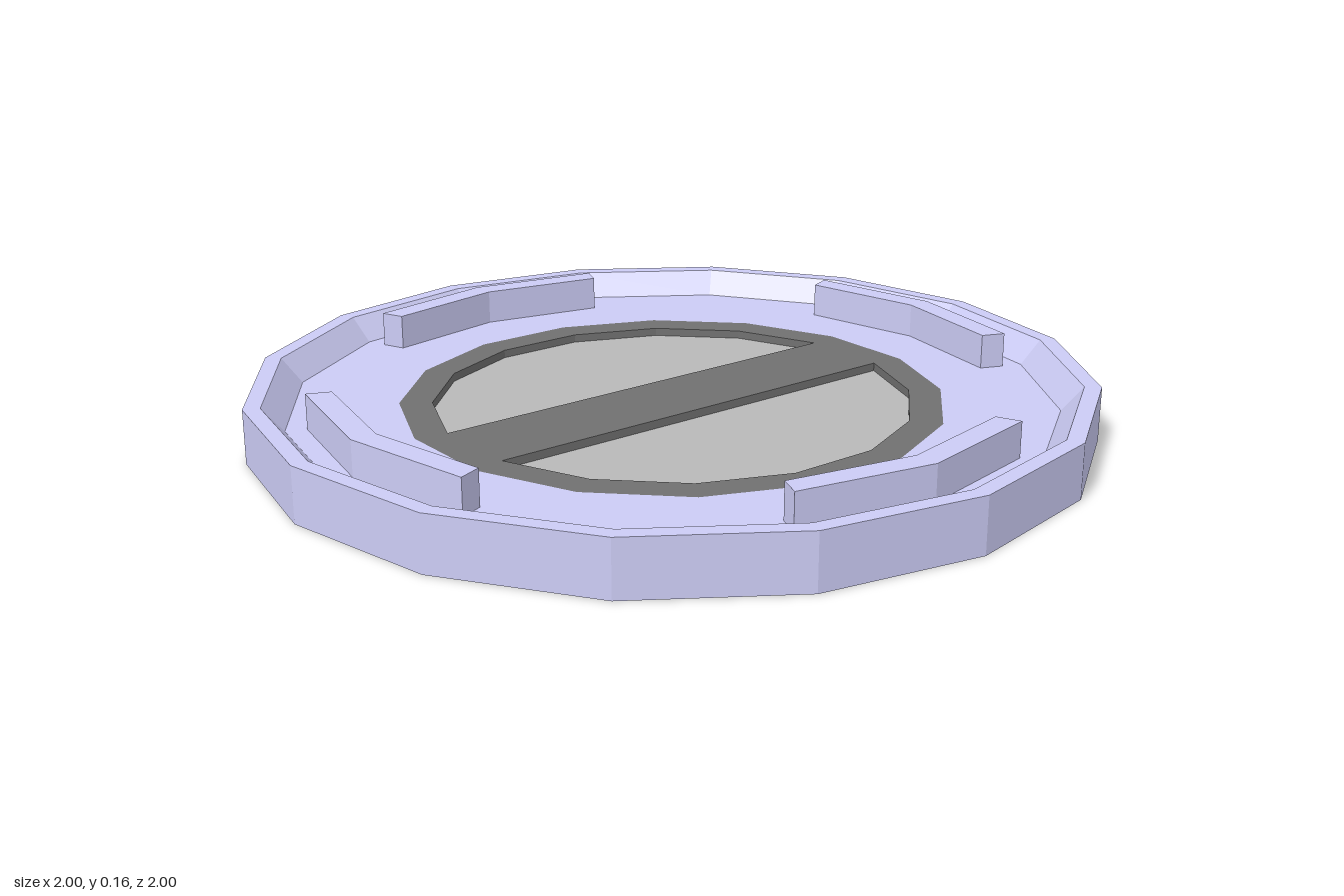
import * as THREE from 'three';

const SIDES = 16, STEP = (Math.PI * 2) / SIDES;
const FLOOR = 0.07, PANEL = 0.05, RIM = 0.13, RIDGE_TOP = 0.155;

const makeMaterial = (color) => new THREE.MeshStandardMaterial({ color, flatShading: true });

// Points on a sixteen-sided ring, from corner a to corner b
function corners(radius, a, b) {
  const points = [];
  for (let i = a; i <= b; i++) {
    points.push(new THREE.Vector2(radius * Math.cos(i * STEP), radius * Math.sin(i * STEP)));
  }
  return points;
}

// Upright slab of a flat outline between two heights
function slab(name, shape, y0, y1, material) {
  const geometry = new THREE.ExtrudeGeometry(shape, { depth: y1 - y0, bevelEnabled: false });
  geometry.rotateX(-Math.PI / 2).translate(0, y0, 0);
  const mesh = new THREE.Mesh(geometry, material);
  mesh.name = name;
  return mesh;
}

export function createModel() {
  const group = new THREE.Group();
  group.name = 'roundHatch';
  const shellMaterial = makeMaterial(0xccccf5);
  const frameMaterial = makeMaterial(0x707070);
  const panelMaterial = makeMaterial(0xb8b8b8);

  // Base, outer wall, rim and sloping inner wall
  const profile = [[0, 0], [1, 0], [1, RIM], [0.96, RIM], [0.91, FLOOR]];
  const shell = new THREE.Mesh(
    new THREE.LatheGeometry(profile.map(([r, y]) => new THREE.Vector2(r, y)), SIDES),
    shellMaterial
  );
  shell.name = 'shell';
  group.add(shell);

  // Floor around the window frame
  const floorShape = new THREE.Shape(corners(0.91, 0, SIDES - 1));
  floorShape.holes.push(new THREE.Path(corners(0.648, 0.5, SIDES - 0.5)));
  group.add(slab('floor', floorShape, PANEL, FLOOR, shellMaterial));

  // Window frame: a ring with a central bar left between two half openings
  const frameShape = new THREE.Shape(corners(0.648, 0.5, SIDES - 0.5));
  const openings = [corners(0.57, -3.5, 3.5), corners(0.57, 4.5, 11.5)];
  openings.forEach((points) => frameShape.holes.push(new THREE.Path(points)));
  group.add(slab('windowFrame', frameShape, PANEL, FLOOR, frameMaterial));

  // Recessed half panels
  openings.forEach((points, i) => {
    const name = i === 0 ? 'leftPanel' : 'rightPanel';
    group.add(slab(name, new THREE.Shape(points), 0.02, PANEL, panelMaterial));
  });

  // Four bent ridges, one on each side
  for (let i = 0; i < 4; i++) {
    const outline = [...corners(0.86, -1, 1), ...corners(0.8, -1, 1).reverse()];
    const ridge = slab('ridge' + (i + 1), new THREE.Shape(outline), FLOOR, RIDGE_TOP, shellMaterial);
    ridge.rotation.y = (i * Math.PI) / 2;
    group.add(ridge);
  }

  return group;
}
